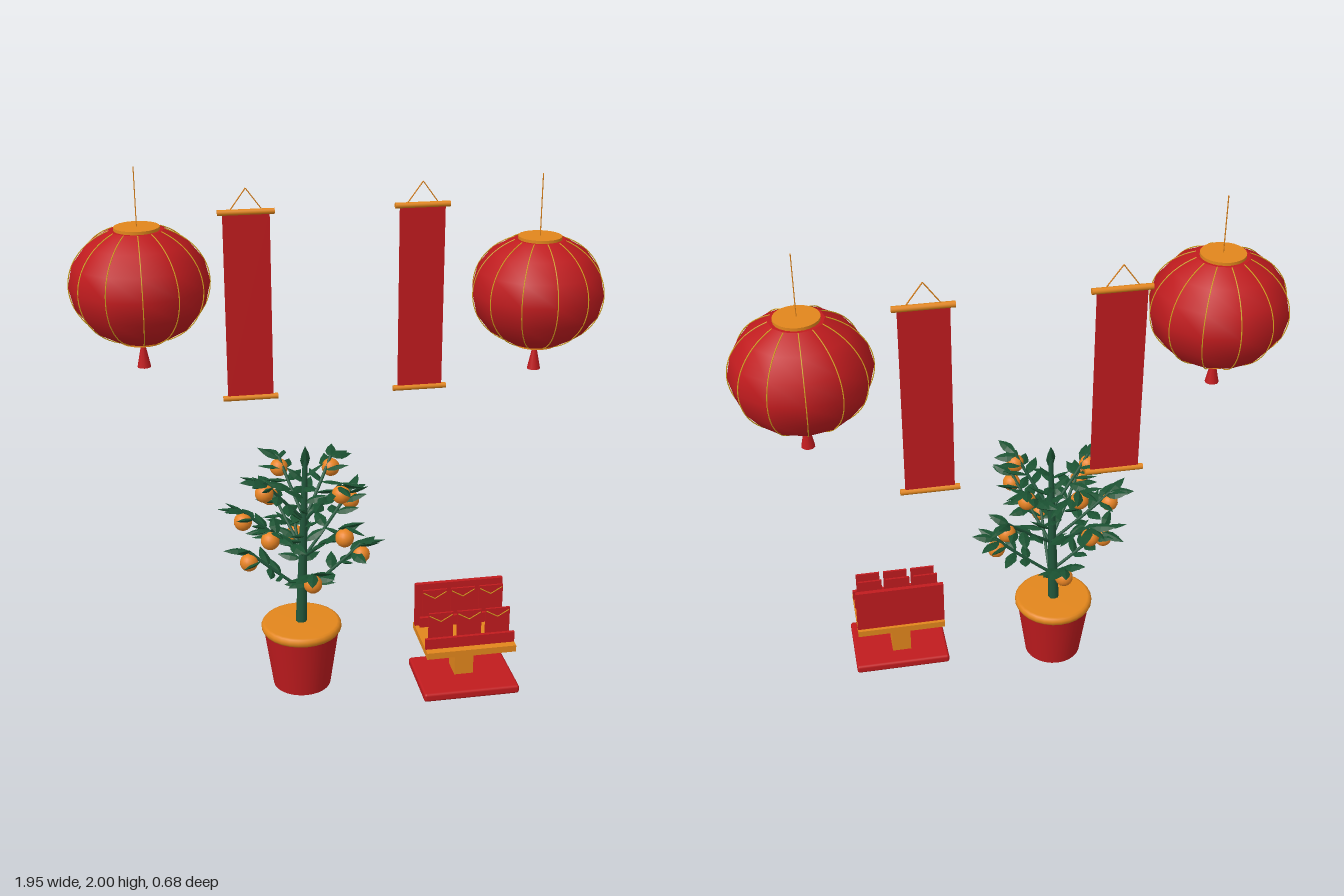
import * as THREE from 'three';
import { RoundedBoxGeometry } from 'three/addons/geometries/RoundedBoxGeometry.js';

const mat = (name, color) => {
  const m = new THREE.MeshStandardMaterial({ color });
  m.name = name;
  return m;
};

export function createModel() {
  const red = mat('red', 0xc01b1e);
  const gold = mat('gold', 0xe2861c);
  const trim = mat('trimGold', 0xd9a520);
  const orange = mat('orange', 0xf28a26);
  const wood = mat('greenStem', 0x22583c);
  const leafGreen = mat('leafGreen', 0x1b5232);
  leafGreen.flatShading = true;
  const root = new THREE.Group();

  const V = (x, y, z) => new THREE.Vector3(x, y, z);
  const P = (x, y) => new THREE.Vector2(x, y);
  const UP = V(0, 1, 0);

  let seed = 7;
  const rand = (lo, hi) => {
    seed = (seed * 16807) % 2147483647;
    return lo + (hi - lo) * seed / 2147483647;
  };

  function add(parent, name, geo, material, x = 0, y = 0, z = 0) {
    const m = new THREE.Mesh(geo, material);
    m.name = name;
    m.position.set(x, y, z);
    parent.add(m);
    return m;
  }
  function group(name, x, y, z) {
    const g = new THREE.Group();
    g.name = name;
    g.position.set(x, y, z);
    root.add(g);
    return g;
  }
  const box = (w, h, d) => new THREE.BoxGeometry(w, h, d);
  const cyl = (a, b, h, n = 16) => new THREE.CylinderGeometry(a, b, h, n);
  // straight rod between two points
  function rod(parent, name, a, b, r0, r1, material, n = 6) {
    const d = b.clone().sub(a);
    const m = add(parent, name, cyl(r1, r0, d.length(), n), material);
    m.position.copy(a).add(b).multiplyScalar(0.5);
    m.quaternion.setFromUnitVectors(UP, d.normalize());
    return m;
  }

  // Paper lanterns: an oval body cut off under the caps, with thin ribs
  const bodyProfile = [], ribPath = [];
  for (let i = -3; i <= 3; i++) {
    const a = i * Math.PI / 8;
    bodyProfile.push(P(0.247 * Math.cos(a), 0.212 * Math.sin(a)));
  }
  for (let i = -12; i <= 12; i++) {
    const a = i * Math.PI / 32;
    ribPath.push(V(0.2465 * Math.cos(a), 0.2115 * Math.sin(a), 0));
  }
  const bodyGeo = new THREE.LatheGeometry(bodyProfile, 12);
  const ribGeo = new THREE.TubeGeometry(new THREE.CatmullRomCurve3(ribPath), 24, 0.002, 5);
  const capGeo = cyl(0.08, 0.08, 0.022, 24);

  function lantern(x, y, cordTop) {
    const g = group('lantern', x, y, -0.08);
    add(g, 'lanternBody', bodyGeo, red);
    for (let i = 0; i < 12; i++) add(g, 'lanternRib', ribGeo, trim).rotation.y = i * Math.PI / 6;
    for (const s of [1, -1]) {
      add(g, 'lanternShoulder', cyl(0.096, 0.096, 0.004, 12), red, 0, s * 0.193, 0);
      add(g, 'lanternCap', capGeo, gold, 0, s * 0.195, 0);
    }
    rod(g, 'lanternCord', V(0, 0.2, 0), V(0, cordTop - y, 0), 0.002, 0.002, gold);
    rod(g, 'tasselCord', V(0, -0.2, 0), V(0, -0.235, 0), 0.004, 0.004, gold);
    add(g, 'tassel', cyl(0.009, 0.025, 0.077, 10), red, 0, -0.266, 0);
  }
  lantern(-0.725, 1.587, 2.0);
  lantern(0.725, 1.489, 1.922);

  // Hanging scroll banners
  function banner(x) {
    const g = group('banner', x, 0, -0.258);
    add(g, 'bannerCloth', box(0.172, 0.71, 0.007), red, 0, 1.428, 0);
    for (const y of [1.072, 1.785]) {
      add(g, 'bannerRod', cyl(0.011, 0.011, 0.208, 12), gold, 0, y, 0).rotation.z = Math.PI / 2;
    }
    for (const s of [1, -1]) rod(g, 'bannerCord', V(s * 0.06, 1.79, 0), V(0, 1.872, 0), 0.0022, 0.0022, gold);
  }
  banner(-0.327);
  banner(0.327);

  // Flower pot
  const pot = group('pot', -0.19, 0, 0.05);
  add(pot, 'potBody', cyl(0.145, 0.11, 0.245, 28), red, 0, 0.1225, 0);
  add(pot, 'potRim', new THREE.LatheGeometry([
    P(0.135, 0.23), P(0.147, 0.232), P(0.153, 0.242), P(0.153, 0.253), P(0.147, 0.262), P(0.138, 0.265), P(0, 0.265),
  ], 28), gold);

  // Citrus tree
  const tree = group('tree', -0.172, 0, 0.047);
  rod(tree, 'trunk', V(-0.018, 0.25, 0), V(0.004, 0.93, 0), 0.022, 0.009, wood, 8);
  const leafGeo = new THREE.LatheGeometry(
    [P(0, 0), P(0.015, 0.02), P(0.023, 0.046), P(0.016, 0.074), P(0, 0.105)], 4);
  leafGeo.scale(1, 1, 0.36);
  const fruitGeo = new THREE.SphereGeometry(0.034, 16, 12);

  // leaf pointing along a bearing and pitch, rolled about its own length
  function leaf(pos, yaw, pitch, size, roll = 0) {
    const m = add(tree, 'leaf', leafGeo, leafGreen);
    const dir = V(Math.cos(yaw) * Math.cos(pitch), Math.sin(pitch), Math.sin(yaw) * Math.cos(pitch));
    const side = V(-Math.sin(yaw), 0, Math.cos(yaw));
    m.quaternion.setFromRotationMatrix(new THREE.Matrix4().makeBasis(side, dir, side.clone().cross(dir)));
    m.rotateY(roll);
    m.position.copy(pos);
    m.scale.setScalar(size);
  }

  // each tier: start height, tip height, then branch bearings (degrees) with reach
  const tiers = [
    { from: 0.39, to: 0.575, reach: 0.212, bearings: [2, 91, 180, 268] },
    { from: 0.54, to: 0.745, reach: 0.23, bearings: [60, 131, 180, 243, 328] },
    { from: 0.69, to: 0.885, reach: 0.172, bearings: [48, 156, 245, 314] },
  ];
  for (const t of tiers) {
    for (const deg of t.bearings) {
      const a = deg * Math.PI / 180, c = Math.cos(a), s = Math.sin(a), r = t.reach;
      const curve = new THREE.QuadraticBezierCurve3(
        V(0, t.from, 0), V(c * r * 0.6, t.from + (t.to - t.from) * 0.55, s * r * 0.6), V(c * r, t.to, s * r));
      add(tree, 'branch', new THREE.TubeGeometry(curve, 8, 0.006, 6), wood);
      add(tree, 'fruit', fruitGeo, orange, c * r, t.to - 0.045, s * r);
      [0.42, 0.58, 0.76, 0.95].forEach((u, i) => {
        for (const sgn of [1, -1]) {
          leaf(curve.getPoint(u + rand(-0.04, 0.04)), a + sgn * (1.35 - 0.22 * i) + rand(-0.3, 0.3),
            rand(-0.15, 0.45), rand(0.85, 1), rand(-0.6, 0.6));
        }
      });
      leaf(curve.getPoint(1), a + rand(-0.25, 0.25), rand(-0.15, 0.2), 0.9, rand(-0.4, 0.4));
    }
  }
  // crown and inner leaves along the trunk
  leaf(V(0.004, 0.89, 0), 1.2, 1.56, 0.9);
  for (let i = 0; i < 14; i++) {
    leaf(V(0, 0.6 + 0.02 * i, 0), i * 2.4, rand(0.2, 0.7), rand(0.8, 0.95), rand(-0.5, 0.5));
  }

  // Envelope display stand
  const stand = group('envelopeStand', 0.426, 0, 0.16);
  add(stand, 'standBase', new RoundedBoxGeometry(0.372, 0.034, 0.282, 2, 0.01), red, 0, 0.022, 0);
  add(stand, 'standPost', box(0.074, 0.142, 0.085), gold, -0.003, 0.109, -0.025);
  add(stand, 'standShelf', box(0.345, 0.026, 0.242), gold, -0.002, 0.193, 0);
  add(stand, 'backBoard', box(0.345, 0.18, 0.017), red, -0.002, 0.295, -0.1);
  add(stand, 'frontRail', box(0.345, 0.043, 0.013), red, -0.002, 0.2265, 0.085);
  add(stand, 'rearRail', box(0.345, 0.04, 0.013), red, -0.002, 0.265, -0.015);

  // Red envelopes with folded flap lines
  function envelope(x, y, z) {
    const g = new THREE.Group();
    g.name = 'envelope';
    g.position.set(x, y, z);
    stand.add(g);
    add(g, 'envelopeBody', box(0.094, 0.135, 0.008), red);
    for (const s of [1, -1]) {
      rod(g, 'flapLine', V(s * 0.044, 0.058, 0.004), V(0, 0.032, 0.004), 0.002, 0.002, trim, 4);
    }
  }
  for (const x of [-0.11, 0, 0.11]) {
    envelope(x - 0.002, 0.32, -0.037);
    envelope(x - 0.002, 0.277, 0.065);
  }

  return root;
}
